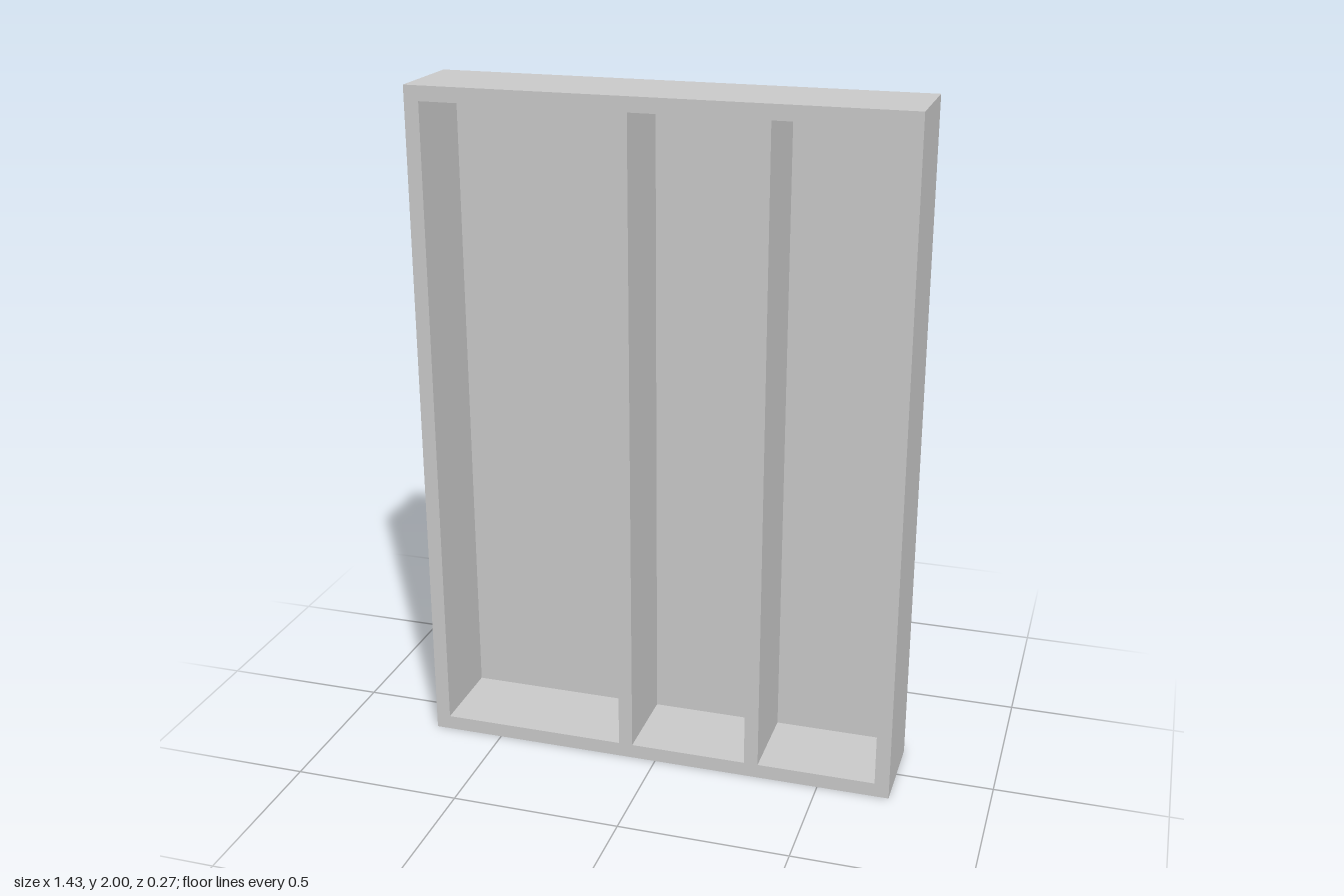
import * as THREE from 'three';

const W = 1.426, H = 2, D = 0.274;   // overall size
const WALL = 0.043;                  // board thickness
const BACK = 0.017;                  // back panel thickness
const RIM = 0.014, GAP = 0.005;      // rebate lip and clearance round the back panel

const material = new THREE.MeshStandardMaterial({ color: 0xcccccc });

// Closed rectangle from two corners
function rect(Type, x0, y0, x1, y1) {
  return new Type([
    new THREE.Vector2(x0, y0), new THREE.Vector2(x1, y0),
    new THREE.Vector2(x1, y1), new THREE.Vector2(x0, y1),
  ]);
}

// Outer slab with rectangular openings, extruded from z0 to z1
function openSlab(name, openings, z0, z1) {
  const shape = rect(THREE.Shape, -W / 2, 0, W / 2, H);
  for (const o of openings) shape.holes.push(rect(THREE.Path, ...o));
  const geometry = new THREE.ExtrudeGeometry(shape, { depth: z1 - z0, bevelEnabled: false });
  geometry.translate(0, 0, z0);
  const mesh = new THREE.Mesh(geometry, material);
  mesh.name = name;
  return mesh;
}

export function createModel() {
  const group = new THREE.Group();
  group.name = 'dividedCabinet';

  // Carcass with one wide and two narrow compartments
  const bays = [[-0.67, -0.114], [-0.072, 0.277], [0.319, 0.67]];
  group.add(openSlab('carcass',
    bays.map(([x0, x1]) => [x0, WALL, x1, H - WALL]), -D / 2 + BACK, D / 2));

  // Thin lip framing the back panel
  group.add(openSlab('backRim',
    [[-W / 2 + RIM, RIM, W / 2 - RIM, H - RIM]], -D / 2, -D / 2 + BACK));

  // Back panel set into the rebate with a narrow gap all round
  const inset = 2 * (RIM + GAP);
  const panel = new THREE.Mesh(new THREE.BoxGeometry(W - inset, H - inset, BACK), material);
  panel.name = 'backPanel';
  panel.position.set(0, H / 2, -D / 2 + BACK / 2);
  group.add(panel);

  return group;
}
